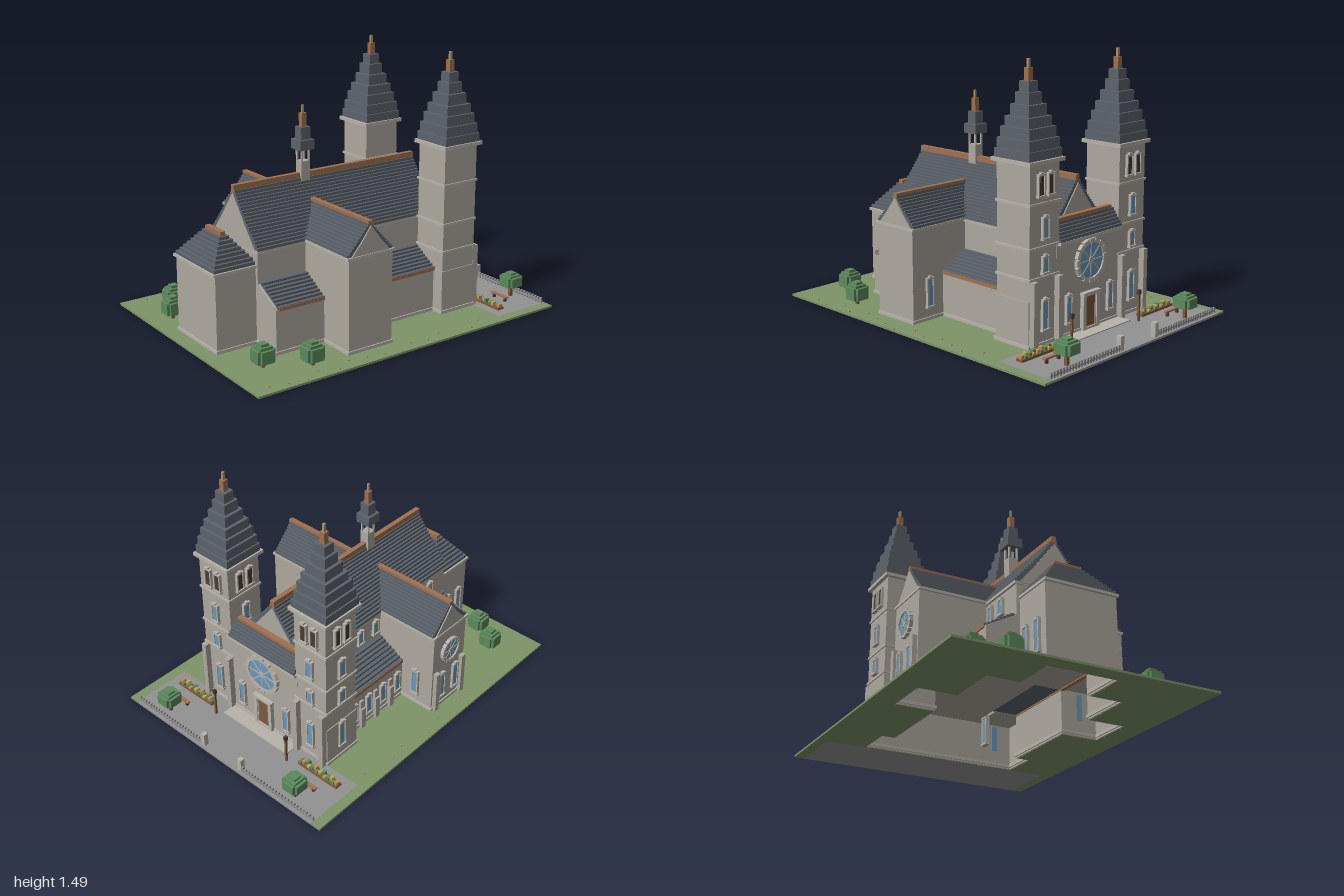
import * as THREE from 'three';

const STONE = 0xada89f, TRIM = 0xb8b3aa, SLATE = 0x5d646c, COPPER = 0xa0704f, GRASS = 0x7d9468;
const PAVING = 0x929292, GLASS = 0x6a98bd, LEAF = 0x5c8a5c, WOOD = 0x7d5a40, GOLD = 0xa89468, DARK = 0x4a3a30;

const materials = {};
const mat = (color) => (materials[color] ??= new THREE.MeshStandardMaterial({ color, flatShading: true }));

function add(parent, name, geometry, color) {
  const mesh = new THREE.Mesh(geometry, mat(color));
  mesh.name = name;
  parent.add(mesh);
  return mesh;
}

// Box given by its limits
function box(parent, name, color, x0, x1, y0, y1, z0, z1) {
  const m = add(parent, name, new THREE.BoxGeometry(Math.abs(x1 - x0), y1 - y0, Math.abs(z1 - z0)), color);
  m.position.set((x0 + x1) / 2, (y0 + y1) / 2, (z0 + z1) / 2);
  return m;
}

// Box centred on x, z
const block = (p, name, color, x, z, hx, hz, y0, y1) => box(p, name, color, x - hx, x + hx, y0, y1, z - hz, z + hz);

function group(parent, name, x = 0, y = 0, z = 0, ry = 0) {
  const g = new THREE.Group();
  g.name = name;
  g.position.set(x, y, z);
  g.rotation.y = ry;
  parent.add(g);
  return g;
}

// Stepped roof whose half sizes shrink from a to b
function steppedRoof(parent, name, x, z, a, b, y0, y1, n, power = 1) {
  const g = group(parent, name);
  for (let i = 0; i < n; i++) {
    const t = 1 - Math.pow(1 - i / (n - 1), power), h = (y1 - y0) / n;
    block(g, 'slateCourse', SLATE, x, z, a[0] + (b[0] - a[0]) * t, a[1] + (b[1] - a[1]) * t, y0 + i * h, y0 + (i + 1) * h);
  }
}

// Thin upright panel from a profile, facing +z before rotation
function panel(parent, name, points, depth, x, z, ry = 0) {
  const shape = new THREE.Shape(points.map(([px, py]) => new THREE.Vector2(px, py)));
  const m = add(parent, name, new THREE.ExtrudeGeometry(shape, { depth, bevelEnabled: false }), STONE);
  m.position.set(x, 0, z);
  m.rotation.y = ry;
}

// Tall framed window running through the wall, outward along local +z
function windowAt(parent, x, y, z, ry, w, h, color = GLASS) {
  const g = group(parent, 'window', x, y, z, ry);
  block(g, 'pane', color, 0, 0, w / 2, 0.012, 0, h);
  for (const s of [-1, 1]) block(g, 'jamb', TRIM, s * (w / 2 + 0.004), 0.005, 0.004, 0.012, 0, h);
  block(g, 'sill', TRIM, 0, 0.006, w / 2 + 0.012, 0.015, -0.012, 0);
  block(g, 'lintel', TRIM, 0, 0.005, w / 2 + 0.008, 0.013, h, h + 0.01);
  block(g, 'keystone', TRIM, 0, 0.005, w / 4, 0.013, h + 0.01, h + 0.019);
}

function roseWindow(parent, x, y, z, ry, r) {
  const g = group(parent, 'roseWindow', x, y, z, ry);
  add(g, 'roseGlass', new THREE.CylinderGeometry(r, r, 0.024, 16).rotateX(Math.PI / 2), GLASS);
  for (let i = 0; i < 16; i++) {
    const a = i * Math.PI / 8;
    const m = add(g, 'ringStone', new THREE.BoxGeometry(r * 0.25, r * (i % 2 ? 0.42 : 0.36), 0.034), TRIM);
    m.position.set(Math.cos(a) * r * 1.08, Math.sin(a) * r * 1.08, 0.004);
    m.rotation.z = a;
  }
  for (let i = 0; i < 4; i++) {
    add(g, 'tracery', new THREE.BoxGeometry(r * 2, r * 0.07, 0.03), TRIM).rotation.z = i * Math.PI / 4;
  }
  add(g, 'roseHub', new THREE.CylinderGeometry(r * 0.2, r * 0.2, 0.034, 8).rotateX(Math.PI / 2), TRIM);
}

const BACK = Math.PI, SIDE = -Math.PI / 2;

function tower(root, x) {
  const z = -0.52, g = group(root, 'tower');
  block(g, 'towerShaft', STONE, x, z, 0.11, 0.115, 0.26, 0.975);
  for (const y of [0.37, 0.53, 0.757]) block(g, 'stringCourse', TRIM, x, z, 0.117, 0.122, y, y + 0.013);
  block(g, 'cornice', TRIM, x, z, 0.132, 0.136, 0.968, 0.988);
  // spire
  const ys = [0.988, 1.035, 1.09, 1.146, 1.198, 1.258, 1.318, 1.374];
  [0.122, 0.113, 0.1, 0.085, 0.066, 0.048, 0.034].forEach((h, i) => block(g, 'spireTier', SLATE, x, z, h, h, ys[i], ys[i + 1]));
  block(g, 'spireCap', COPPER, x, z, 0.016, 0.016, 1.374, 1.44);
  block(g, 'finial', GOLD, x, z, 0.007, 0.007, 1.44, 1.485);
  // openings on the two decorated faces
  for (const [px, pz, ry, dx, dz] of [[x, z - 0.115, BACK, 1, 0], [x - 0.11, z, SIDE, 0, 1]]) {
    for (const s of [-0.036, 0.036]) windowAt(g, px + s * dx, 0.81, pz + s * dz, ry, 0.034, 0.1, DARK);
    windowAt(g, px, 0.585, pz, ry, 0.036, 0.1);
    windowAt(g, px, 0.405, pz, ry, 0.036, 0.075);
    windowAt(g, px, 0.1, pz, ry, 0.034, 0.15);
  }
  for (const s of [-0.095, 0.095]) block(g, 'buttress', STONE, x + s, -0.65, 0.016, 0.02, 0, 0.37);
}

function tree(root, name, x, z, y, r, h) {
  const g = group(root, name);
  block(g, 'trunk', WOOD, x, z, 0.009, 0.009, 0.01, y + 0.02);
  [[1, 0.7, 0, 0.7], [0.7, 1, 0, 0.7], [0.7, 0.7, 0.35, 0.85], [0.42, 0.42, 0.7, 1]].forEach(([a, b, lo, hi]) =>
    block(g, 'foliage', LEAF, x, z, r * a, r * b, y + h * lo, y + h * hi));
}

export function createModel() {
  const root = new THREE.Group();
  root.name = 'church';

  // Footprint of the hollow ground storey
  const half = [[0.2, 0.905], [0.2, 0.66], [0.39, 0.66], [0.39, 0.355], [0.61, 0.355], [0.61, 0.085],
    [0.39, 0.085], [0.39, -0.405], [0.465, -0.405], [0.465, -0.63]];
  const plan = [...half, ...half.map(([x, z]) => [-x, z]).reverse()];

  // Lawn open under the church, and forecourt
  const lawn = new THREE.Shape([[-0.75, 1], [0.75, 1], [0.75, -1], [0.69, -1], [0.69, -0.638], [-0.69, -0.638], [-0.69, -1], [-0.75, -1]]
    .map(([x, z]) => new THREE.Vector2(x, -z)));
  lawn.holes.push(new THREE.Path(plan.map(([x, z]) => new THREE.Vector2(x, -z))));
  add(root, 'lawn', new THREE.ExtrudeGeometry(lawn, { depth: 0.012, bevelEnabled: false }).rotateX(-Math.PI / 2), GRASS);
  box(root, 'forecourt', PAVING, -0.69, 0.69, 0, 0.012, -1, -0.638);
  box(root, 'entranceStep', TRIM, -0.25, 0.25, 0.01, 0.018, -0.73, -0.63);

  // Ground storey walls and plinth
  plan.forEach(([x0, z0], i) => {
    const [x1, z1] = plan[(i + 1) % plan.length];
    for (const [name, color, t, y0, y1] of [['lowerWall', STONE, 0.006, 0.002, 0.262], ['plinth', TRIM, 0.013, 0.012, 0.03]]) {
      box(root, name, color, Math.min(x0, x1) - t, Math.max(x0, x1) + t, y0, y1, Math.min(z0, z1) - t, Math.max(z0, z1) + t);
    }
  });

  // Nave
  box(root, 'naveWall', STONE, -0.225, 0.225, 0.26, 0.53, -0.6, 0.666);
  box(root, 'naveCornice', TRIM, -0.237, 0.237, 0.522, 0.537, -0.55, 0.672);
  steppedRoof(root, 'naveRoof', 0, 0.06, [0.237, 0.61], [0.02, 0.61], 0.537, 0.815, 18, 1.1);
  box(root, 'naveRidge', COPPER, -0.014, 0.014, 0.8, 0.845, -0.55, 0.672);
  const naveGable = [[-0.215, 0.53], [0.215, 0.53], [0.11, 0.655], [0, 0.8], [-0.11, 0.655]];
  panel(root, 'naveGable', naveGable, 0.02, 0, 0.656);
  panel(root, 'naveGable', naveGable, 0.02, 0, -0.536, Math.PI);

  // Transept
  box(root, 'transeptWall', STONE, -0.616, 0.616, 0.26, 0.54, 0.079, 0.361);
  box(root, 'transeptCornice', TRIM, -0.622, 0.622, 0.53, 0.545, 0.068, 0.372);
  steppedRoof(root, 'transeptRoof', 0, 0.22, [0.61, 0.147], [0.61, 0.016], 0.545, 0.705, 11, 1.1);
  box(root, 'transeptRidge', COPPER, -0.612, 0.612, 0.692, 0.72, 0.206, 0.234);
  for (const s of [-1, 1]) {
    panel(root, 'transeptGable', [[-0.128, 0.54], [0.128, 0.54], [0.065, 0.61], [0, 0.695], [-0.065, 0.61]], 0.02, s * 0.597, 0.22, s * Math.PI / 2);
  }

  // Aisles with lean-to roofs
  for (const s of [-1, 1]) {
    for (let i = 0; i < 8; i++) {
      box(root, 'aisleRoof', SLATE, s * 0.215, s * (0.4 - i * 0.0215), 0.262 + i * 0.0125, 0.2745 + i * 0.0125, -0.41, 0.652);
    }
    box(root, 'aisleEaves', COPPER, s * 0.38, s * 0.403, 0.253, 0.272, -0.41, 0.65);
    panel(root, 'aisleGable', [[s * 0.2, 0.25], [s * 0.39, 0.25], [s * 0.38, 0.27], [s * 0.22, 0.355]], 0.02, 0, 0.646);
  }

  // Choir with hipped roof
  box(root, 'choirWall', STONE, -0.206, 0.206, 0.26, 0.445, 0.655, 0.911);
  box(root, 'choirCornice', TRIM, -0.214, 0.214, 0.44, 0.455, 0.655, 0.925);
  steppedRoof(root, 'choirRoof', 0, 0.785, [0.203, 0.13], [0.092, 0.03], 0.455, 0.605, 8);
  box(root, 'choirRidge', COPPER, -0.08, 0.08, 0.6, 0.627, 0.77, 0.8);

  // Entrance front between the towers
  box(root, 'frontWall', STONE, -0.26, 0.26, 0.26, 0.53, -0.636, -0.5);
  box(root, 'frontCornice', TRIM, -0.255, 0.255, 0.52, 0.537, -0.658, -0.5);
  steppedRoof(root, 'frontRoof', 0, -0.585, [0.25, 0.07], [0.25, 0.016], 0.537, 0.632, 6);
  box(root, 'frontRidge', COPPER, -0.225, 0.225, 0.625, 0.65, -0.6, -0.57);
  roseWindow(root, 0, 0.395, -0.637, BACK, 0.1);
  windowAt(root, 0, 0.03, -0.637, BACK, 0.075, 0.17, WOOD);
  for (const s of [-1, 1]) {
    block(root, 'doorPier', TRIM, s * 0.055, -0.645, 0.012, 0.015, 0.012, 0.21);
    windowAt(root, s * 0.17, 0.09, -0.637, BACK, 0.032, 0.14);
    tower(root, s * 0.355);
  }
  box(root, 'doorHood', TRIM, -0.07, 0.07, 0.21, 0.225, -0.665, -0.63);

  // Windows and buttresses on the decorated side
  for (const z of [-0.28, -0.16, -0.035, 0.46, 0.58]) {
    block(root, 'aisleButtress', STONE, -0.405, z, 0.017, 0.016, 0, 0.15);
    block(root, 'aisleButtressTop', STONE, -0.4, z, 0.01, 0.013, 0.15, 0.2);
  }
  for (const z of [-0.34, -0.22, -0.098, 0.03, 0.41, 0.52]) {
    windowAt(root, -0.395, 0.085, z, SIDE, 0.032, 0.11);
    windowAt(root, -0.225, 0.41, z, SIDE, 0.032, 0.075);
  }
  for (const z of [0.105, 0.335]) block(root, 'transeptButtress', STONE, -0.627, z, 0.015, 0.016, 0, 0.28);
  for (const z of [0.16, 0.28]) windowAt(root, -0.615, 0.09, z, SIDE, 0.034, 0.15);
  roseWindow(root, -0.615, 0.39, 0.22, SIDE, 0.065);
  for (const x of [-0.5, 0.5]) windowAt(root, x, 0.095, 0.08, BACK, 0.034, 0.15);
  for (const z of [0.73, 0.84]) windowAt(root, -0.205, 0.095, z, SIDE, 0.034, 0.16);

  // Crossing turret with open lantern
  const turret = group(root, 'crossingTurret', 0, 0, 0.22);
  block(turret, 'turretBase', STONE, 0, 0, 0.028, 0.028, 0.74, 0.91);
  for (const sx of [-1, 1]) for (const sz of [-1, 1]) block(turret, 'lanternPost', TRIM, sx * 0.023, sz * 0.023, 0.005, 0.005, 0.9, 0.98);
  block(turret, 'turretRoof', SLATE, 0, 0, 0.046, 0.046, 0.975, 1.03);
  block(turret, 'turretRoof', SLATE, 0, 0, 0.03, 0.03, 1.03, 1.1);
  block(turret, 'turretCap', COPPER, 0, 0, 0.015, 0.015, 1.1, 1.175);
  block(turret, 'turretFinial', GOLD, 0, 0, 0.006, 0.006, 1.175, 1.22);

  // Forecourt furniture, mirrored
  for (const s of [-1, 1]) {
    for (let i = 0; i < 24; i++) block(root, 'fencePicket', PAVING, s * (0.165 + i * 0.0225), -0.978, 0.006, 0.005, 0.01, 0.045);
    box(root, 'fenceRail', PAVING, s * 0.15, s * 0.69, 0.022, 0.03, -0.983, -0.973);
    block(root, 'gatePost', TRIM, s * 0.145, -0.972, 0.014, 0.014, 0.01, 0.09);
    block(root, 'lampPost', WOOD, s * 0.28, -0.76, 0.006, 0.006, 0.01, 0.165);
    block(root, 'lampHead', DARK, s * 0.28, -0.76, 0.009, 0.009, 0.165, 0.19);
    block(root, 'benchSeat', COPPER, s * 0.5, -0.825, 0.063, 0.01, 0.034, 0.043);
    for (const d of [-0.045, 0.045]) block(root, 'benchLeg', DARK, s * 0.5 + d, -0.825, 0.006, 0.008, 0.01, 0.034);
    block(root, 'flowerBed', WOOD, s * 0.485, -0.715, 0.14, 0.022, 0.01, 0.026);
    for (let i = 0; i < 14; i++) {
      const color = [LEAF, 0xc98a4a, LEAF, 0xb9a850][i % 4];
      block(root, 'flowers', color, s * (0.358 + i * 0.0195), -0.715 + (i % 3 - 1) * 0.008, 0.0095, 0.012, 0.02, 0.038 + (i % 3) * 0.005);
    }
    tree(root, 'tree', s * 0.495, -0.915, 0.08, 0.055, 0.078);
  }
  for (const [x, z] of [[0.6, 0.58], [0.475, 0.8], [-0.525, 0.77], [-0.37, 0.86]]) tree(root, 'shrub', x, z, 0.045, 0.053, 0.1);

  // Scattered wild flowers on the lawn
  for (let i = 0; i < 30; i++) {
    const x = (i % 2 ? 1 : -1) * (0.66 + ((i * 37) % 17) / 200), z = -0.55 + ((i * 53) % 30) / 20;
    block(root, 'wildFlower', GOLD, x, z, 0.005, 0.005, 0.01, 0.017);
  }
  return root;
}
